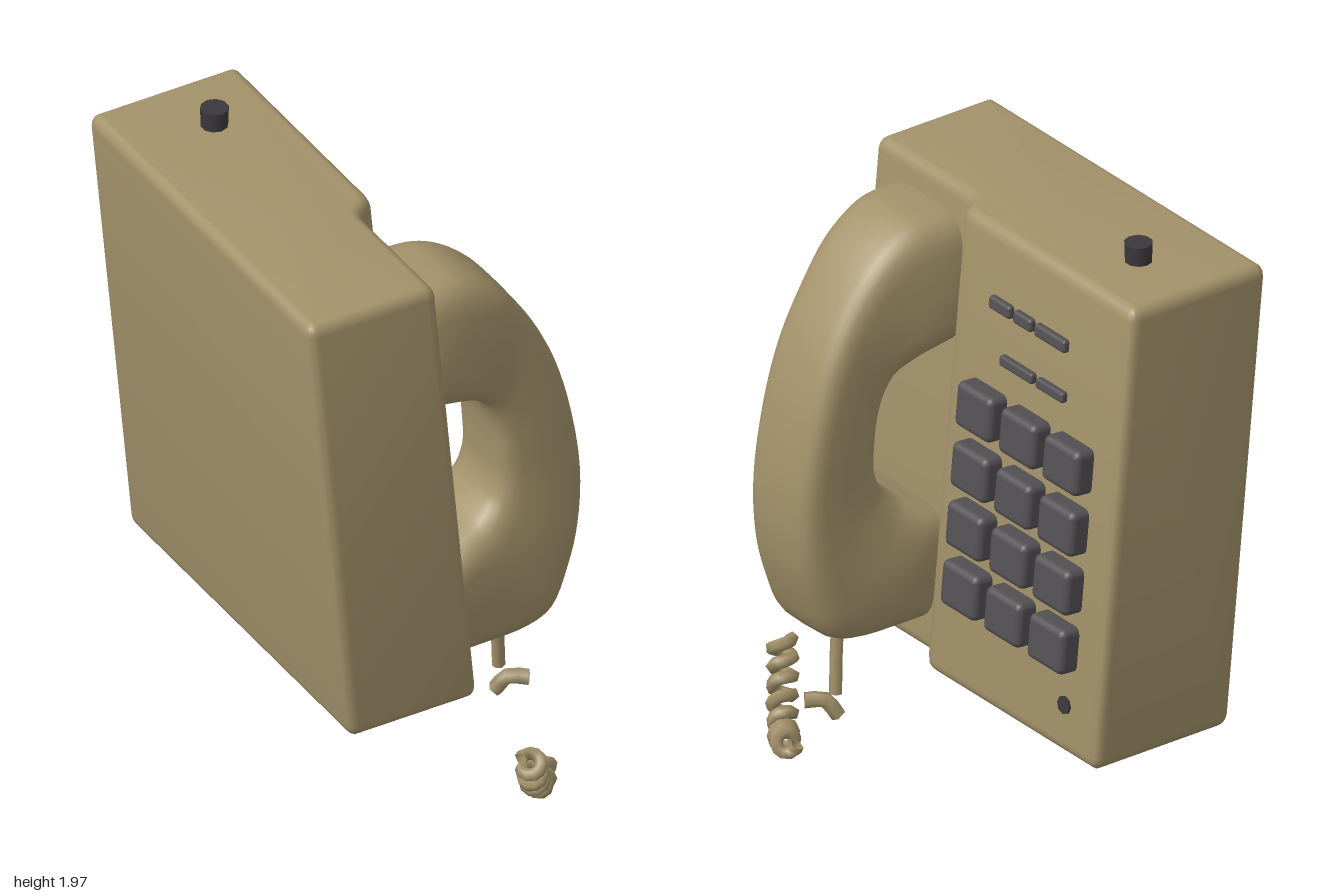
import * as THREE from 'three';
import { toCreasedNormals } from 'three/addons/utils/BufferGeometryUtils.js';
import { RoundedBoxGeometry } from 'three/addons/geometries/RoundedBoxGeometry.js';

const LEAN = 0.095; // the housing leans back as it rises
const V = (x, y, z) => new THREE.Vector3(x, y, z);
const faceX = (y) => 0.14 - LEAN * (y - 0.45); // surface of the key panel

export function createModel() {
  const group = new THREE.Group();
  const tan = new THREE.MeshStandardMaterial({ name: 'tan plastic', color: 0xa3926a });
  const grey = new THREE.MeshStandardMaterial({ name: 'grey keys', color: 0x545154 });
  const dark = new THREE.MeshStandardMaterial({ name: 'dark knob', color: 0x3c383c });
  const coil = new THREE.MeshStandardMaterial({ name: 'cord tan', color: 0xa3926a, side: THREE.DoubleSide });

  function add(name, geometry, material, x = 0, y = 0, z = 0) {
    const mesh = new THREE.Mesh(geometry, material);
    mesh.name = name;
    mesh.position.set(x, y, z);
    group.add(mesh);
    return mesh;
  }

  // Housing: stepped plan with a low bay for the handset, raised and leaned back
  const plan = new THREE.Shape();
  const r = 0.035;
  const back = -0.36, bay = 0.07, panel = 0.14, left = -0.56, right = 0.745;
  plan.moveTo(back + r, left);
  plan.lineTo(bay - r, left);
  plan.quadraticCurveTo(bay, left, bay, left + r);
  plan.lineTo(bay, -0.13);
  plan.bezierCurveTo(bay, -0.07, panel, -0.09, panel, -0.02);
  plan.lineTo(panel, right - r);
  plan.quadraticCurveTo(panel, right, panel - r, right);
  plan.lineTo(back + r, right);
  plan.quadraticCurveTo(back, right, back, right - r);
  plan.lineTo(back, left + r);
  plan.quadraticCurveTo(back, left, back + r, left);
  const housing = new THREE.ExtrudeGeometry(plan, {
    depth: 1.41, bevelThickness: 0.04, bevelSize: 0.033, bevelOffset: -0.033, bevelSegments: 4, curveSegments: 6,
  });
  housing.rotateX(-Math.PI / 2);
  housing.translate(0, 0.49, 0);
  const hp = housing.attributes.position;
  for (let i = 0; i < hp.count; i++) {
    const x = hp.getX(i), y = hp.getY(i);
    hp.setXY(i, x - LEAN * (y - 0.45), y + 0.02 * x);
  }
  add('housing', toCreasedNormals(housing, 0.7), tan);

  // Handset: rounded sections between an outer and an inner curve
  // each row: outer x, outer y, inner x, inner y, outer half width, inner half width
  const rows = [
    [-0.1, 1.85, -0.07, 1.45, 0.18, 0.215], [-0.03, 1.855, 0.0, 1.44, 0.18, 0.215],
    [0.08, 1.85, 0.1, 1.41, 0.17, 0.195], [0.2, 1.78, 0.16, 1.37, 0.16, 0.17],
    [0.3, 1.66, 0.19, 1.31, 0.15, 0.155], [0.39, 1.5, 0.205, 1.24, 0.15, 0.15],
    [0.455, 1.3, 0.21, 1.17, 0.15, 0.15], [0.495, 1.05, 0.21, 1.09, 0.15, 0.15],
    [0.485, 0.85, 0.19, 1.03, 0.155, 0.155], [0.45, 0.71, 0.165, 1.0, 0.16, 0.165],
    [0.39, 0.58, 0.13, 0.97, 0.165, 0.18], [0.31, 0.545, 0.09, 0.95, 0.17, 0.195],
    [0.15, 0.54, 0.05, 0.93, 0.18, 0.21], [0.02, 0.54, -0.02, 0.9, 0.18, 0.215],
  ];
  const outer = new THREE.CatmullRomCurve3(rows.map((q) => V(q[0], q[1], q[4])));
  const inner = new THREE.CatmullRomCurve3(rows.map((q) => V(q[2], q[3], q[5])));
  const steps = 52, sides = 28, pos = [], idx = [];
  for (let i = 0; i <= steps; i++) {
    const o = outer.getPoint(i / steps), n = inner.getPoint(i / steps);
    for (let j = 0; j < sides; j++) {
      const a = (j / sides) * Math.PI * 2;
      const soft = (v) => Math.sign(v) * Math.pow(Math.abs(v), 0.45);
      const t = 0.5 + 0.5 * soft(Math.cos(a)); // 0 inner, 1 outer
      const w = n.z + (o.z - n.z) * t;
      pos.push(n.x + (o.x - n.x) * t, n.y + (o.y - n.y) * t, 0.312 + w * soft(Math.sin(a)));
    }
  }
  for (let i = 0; i < steps; i++) {
    for (let j = 0; j < sides; j++) {
      const a = i * sides + j, b = i * sides + ((j + 1) % sides);
      idx.push(a, a + sides, b, b, a + sides, b + sides);
    }
  }
  const last = steps * sides;
  for (let j = 1; j < sides - 1; j++) idx.push(0, j, j + 1, last, last + j + 1, last + j);
  const handset = new THREE.BufferGeometry();
  handset.setAttribute('position', new THREE.Float32BufferAttribute(pos, 3));
  handset.setIndex(idx);
  // Turn the faces outward if the loops run the other way
  let volume = 0;
  const A = V(), B = V(), C = V(), hs = handset.attributes.position;
  for (let i = 0; i < idx.length; i += 3) {
    A.fromBufferAttribute(hs, idx[i]);
    B.fromBufferAttribute(hs, idx[i + 1]);
    C.fromBufferAttribute(hs, idx[i + 2]);
    volume += A.dot(B.cross(C));
  }
  if (volume < 0) handset.setIndex(idx.reverse());
  add('handset', toCreasedNormals(handset, 0.9), tan);

  // Keypad and small function buttons
  function key(name, y, z, h, w, proud) {
    const radius = Math.min(0.022, h * 0.25);
    const geometry = new RoundedBoxGeometry(proud + 0.05, h, w, 2, radius);
    const mesh = add(name, geometry, grey, faceX(y) + proud / 2 - 0.025, y, z);
    mesh.rotation.z = Math.atan(LEAN);
  }
  for (const y of [1.375, 1.18, 0.99, 0.8])
    for (const z of [-0.13, -0.335, -0.54]) key('key', y, z, 0.145, 0.167, 0.063);
  for (const [z0, z1] of [[-0.11, -0.21], [-0.225, -0.31], [-0.325, -0.47]])
    key('upperButton', 1.715, (z0 + z1) / 2, 0.042, z0 - z1, 0.02);
  for (const [z0, z1] of [[-0.18, -0.335], [-0.352, -0.48]])
    key('lowerButton', 1.555, (z0 + z1) / 2, 0.034, z0 - z1, 0.02);

  // Small socket on the panel and knob on top
  const socket = add('socket', new THREE.CylinderGeometry(0.028, 0.028, 0.03, 8), dark, faceX(0.61) - 0.007, 0.61, -0.585);
  socket.rotation.z = Math.atan(LEAN) - Math.PI / 2;
  add('topKnob', toCreasedNormals(new THREE.CylinderGeometry(0.043, 0.04, 0.1, 10), 0.8), dark, -0.213, 1.95, -0.5);

  // Straight end of the cord with its bent tip
  const lead = new THREE.CatmullRomCurve3([V(0.27, 0.58, 0.3), V(0.285, 0.45, 0.29), V(0.295, 0.33, 0.28)]);
  add('cordLead', new THREE.TubeGeometry(lead, 8, 0.02, 7), coil);
  const tip = new THREE.CatmullRomCurve3([V(0.28, 0.25, 0.285), V(0.31, 0.3, 0.31), V(0.36, 0.3, 0.345)]);
  add('cordTip', new THREE.TubeGeometry(tip, 4, 0.025, 5), coil);

  // Loose coiled length of cord
  const path = new THREE.CatmullRomCurve3([
    V(0.165, 0.285, 0.7), V(0.19, 0.2, 0.665), V(0.235, 0.13, 0.61), V(0.285, 0.08, 0.54), V(0.335, 0.09, 0.46),
  ]);
  const turns = 7, coilPoints = [];
  for (let i = 0; i <= turns * 7; i++) {
    const t = i / (turns * 7), a = t * turns * Math.PI * 2;
    const along = path.getTangent(t);
    const u = V(0, 1, 0).cross(along).normalize();
    const v = along.clone().cross(u);
    coilPoints.push(path.getPoint(t).addScaledVector(u, 0.03 * Math.cos(a)).addScaledVector(v, 0.03 * Math.sin(a)));
  }
  const helix = new THREE.TubeGeometry(new THREE.CatmullRomCurve3(coilPoints), turns * 10, 0.021, 5);
  add('coiledCord', helix, coil);

  return group;
}
